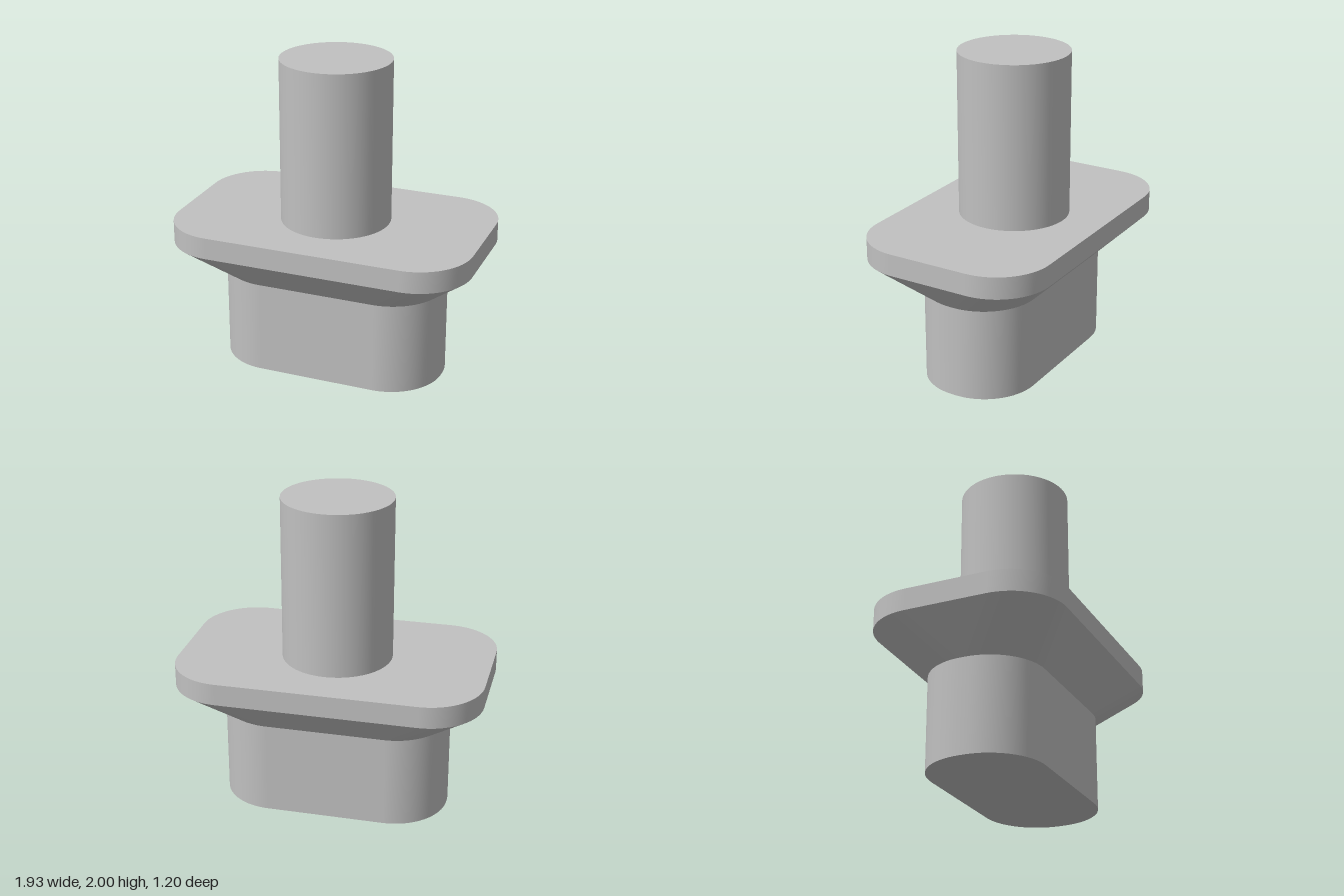
import * as THREE from 'three';

const R = 0.345; // corner radius shared by every section, and radius of the shaft

// Rounded rectangle outline with half sizes w, d at height y
function outline(w, d, y, seg = 16) {
  const pts = [];
  const corners = [[1, 1], [-1, 1], [-1, -1], [1, -1]];
  corners.forEach(([sx, sz], c) => {
    for (let i = 0; i <= seg; i++) {
      const a = (c + i / seg) * Math.PI / 2;
      pts.push([sx * (w - R) + R * Math.cos(a), y, sz * (d - R) + R * Math.sin(a)]);
    }
  });
  return pts;
}

// Smooth wall between two outlines
function wall(lower, upper) {
  const n = lower.length, index = [];
  for (let i = 0; i < n; i++) {
    const j = (i + 1) % n;
    index.push(i, n + i, j, n + i, n + j, j);
  }
  return build([...lower, ...upper], index);
}

// Flat cap filling an outline, facing up or down
function cap(ring, up) {
  const n = ring.length, index = [];
  for (let i = 0; i < n; i++) {
    const j = (i + 1) % n;
    index.push(n, up ? j : i, up ? i : j);
  }
  return build([...ring, [0, ring[0][1], 0]], index);
}

function build(points, index) {
  const g = new THREE.BufferGeometry();
  g.setAttribute('position', new THREE.Float32BufferAttribute(points.flat(), 3));
  g.setIndex(index);
  g.computeVertexNormals();
  return g;
}

export function createModel() {
  const model = new THREE.Group();
  const grey = new THREE.MeshStandardMaterial({ color: 0xc0c0c0 });
  grey.name = 'grey';
  const add = (name, geometry) => {
    const mesh = new THREE.Mesh(geometry, grey);
    mesh.name = name;
    model.add(mesh);
    return mesh;
  };

  const bottom = outline(0.72, 0.36, 0);
  const neck = outline(0.72, 0.36, 0.59);
  const rim = outline(0.963, 0.602, 0.83);
  const top = outline(0.963, 0.602, 0.967);

  // Base block, flared underside and flange
  add('baseWall', wall(bottom, neck));
  add('baseBottom', cap(bottom, false));
  add('flare', wall(neck, rim));
  add('flangeEdge', wall(rim, top));
  add('flangeTop', cap(top, true));

  // Round shaft
  add('shaft', new THREE.CylinderGeometry(R, R, 1.033, 64)).position.y = 0.967 + 1.033 / 2;

  return model;
}
